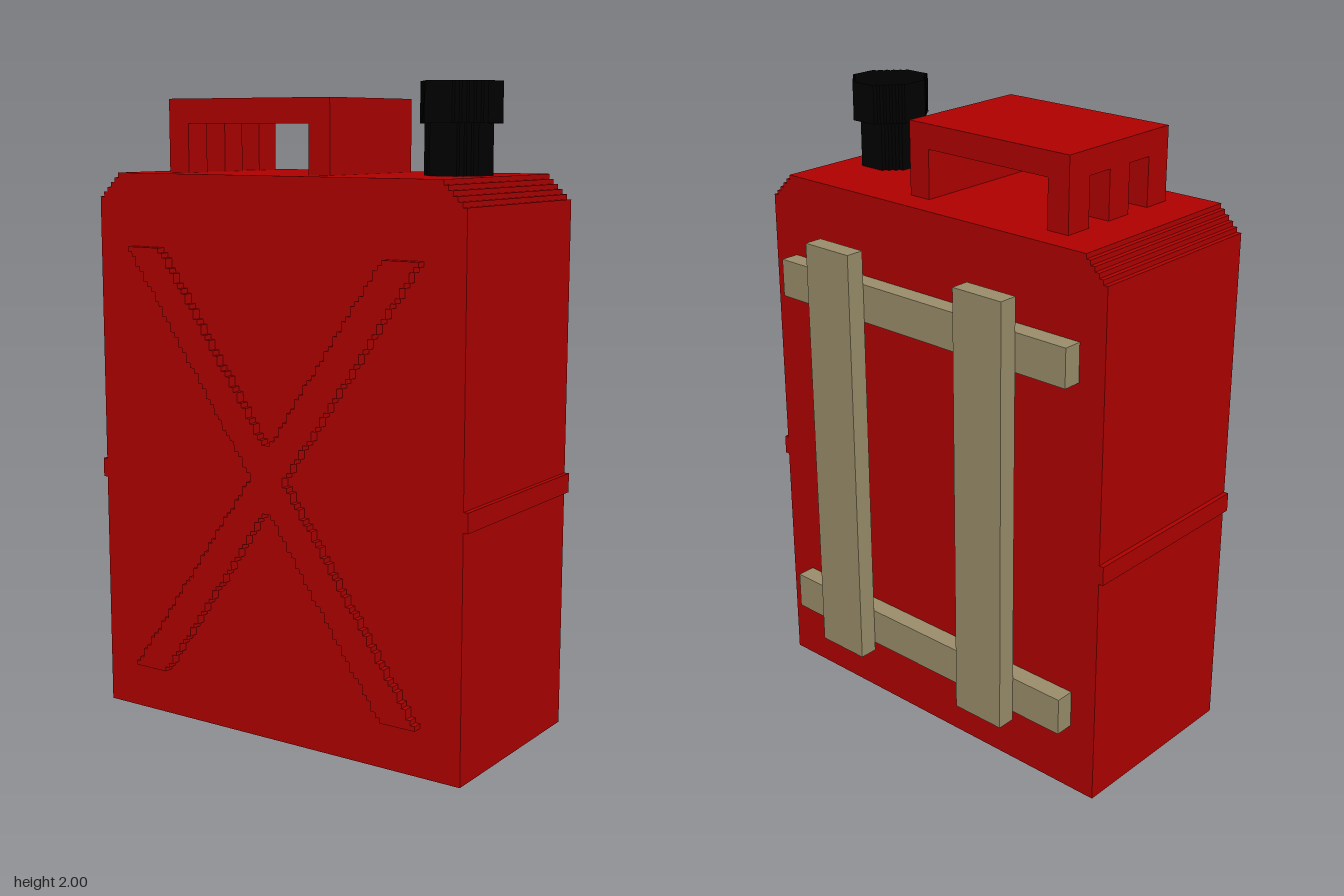
import * as THREE from 'three';

const V = 2 / 133; // size of one grid cell

const red = new THREE.MeshStandardMaterial({ color: 0xb00000 });
red.name = 'red paint';
const black = new THREE.MeshStandardMaterial({ color: 0x000000 });
black.name = 'black plastic';
const tan = new THREE.MeshStandardMaterial({ color: 0x9b8e6b });
tan.name = 'tan wood';

// All helpers work in grid cells; the group is scaled by V at the end.
function box(parent, name, material, [x0, x1], [y0, y1], [z0, z1]) {
  const mesh = new THREE.Mesh(new THREE.BoxGeometry(x1 - x0, y1 - y0, z1 - z0), material);
  mesh.position.set((x0 + x1) / 2, (y0 + y1) / 2, (z0 + z1) / 2);
  mesh.name = name;
  parent.add(mesh);
}

function extrude(parent, name, material, points, depth) {
  const shape = new THREE.Shape(points.map(([x, y]) => new THREE.Vector2(x, y)));
  const mesh = new THREE.Mesh(new THREE.ExtrudeGeometry(shape, { depth, bevelEnabled: false }), material);
  mesh.name = name;
  parent.add(mesh);
  return mesh;
}

// Staircase of n steps from a to b
function stairs(a, b, n, xFirst) {
  const at = (i, k) => a[k] + ((b[k] - a[k]) * i) / n;
  const points = [a];
  for (let i = 0; i < n; i++) {
    points.push(xFirst ? [at(i + 1, 0), at(i, 1)] : [at(i, 0), at(i + 1, 1)]);
    points.push([at(i + 1, 0), at(i + 1, 1)]);
  }
  return points;
}

// Octagonal column with stepped corners, standing on y0
function column(parent, name, x0, x1, z0, z1, left, right, cut, y0, y1) {
  const lo = -z1, hi = -z0;
  const mesh = extrude(parent, name, black, [
    ...stairs([x1, hi - cut], [x1 - right, hi], cut, true),
    ...stairs([x0 + left, hi], [x0, hi - cut], cut, false),
    ...stairs([x0, lo + cut], [x0 + left, lo], cut, true),
    ...stairs([x1 - right, lo], [x1, lo + cut], cut, false),
  ], y1 - y0);
  mesh.rotation.x = -Math.PI / 2;
  mesh.position.y = y0;
}

// Stepped diagonal bar of the front relief; side mirrors its direction
function diagonalBar(parent, name, side) {
  const left = [], right = [];
  for (let y = 10; y < 100; y++) {
    const centre = side * Math.round((31 * (y + 0.5 - 55)) / 45);
    left.push([centre - 4, y], [centre - 4, y + 1]);
    right.push([centre + 4, y], [centre + 4, y + 1]);
  }
  const outline = [...right, ...left.reverse()].filter(
    (p, i, all) => i === 0 || p[0] !== all[i - 1][0] || p[1] !== all[i - 1][1]);
  extrude(parent, name, red, outline, 2).position.z = 24;
}

export function createModel() {
  const model = new THREE.Group();
  model.name = 'fuelCan';

  // Tank with stepped shoulders
  extrude(model, 'tank', red, [
    [-44, 0], [44, 0],
    ...stairs([44, 110], [39, 115], 5, true),
    ...stairs([-39, 115], [-44, 110], 5, false),
  ], 42).position.z = -18;

  // Seam ridges on both sides
  box(model, 'leftSeam', red, [44, 45], [50, 54], [-18, 24]);
  box(model, 'rightSeam', red, [-45, -44], [50, 54], [-18, 24]);

  // Raised cross on the front
  diagonalBar(model, 'risingCrossBar', 1);
  diagonalBar(model, 'fallingCrossBar', -1);

  // Handle: broad grip, one solid wall and three posts
  const handle = new THREE.Group();
  handle.name = 'handle';
  model.add(handle);
  box(handle, 'grip', red, [-30, 10], [125, 130], [-12, 18]);
  box(handle, 'handleWall', red, [5, 10], [115, 125], [-12, 18]);
  for (const z of [-12, 0, 12]) box(handle, 'handlePost', red, [-30, -25], [115, 125], [z, z + 6]);

  // Spout and cap
  column(model, 'spout', 24, 36, -3, 9, 3, 3, 3, 115, 125);
  column(model, 'cap', 23, 38, -5, 11, 4, 5, 5, 125, 133);

  // Wooden rack on the back
  const rack = new THREE.Group();
  rack.name = 'backRack';
  model.add(rack);
  for (const y of [15, 90]) box(rack, 'rackRail', tan, [-38, 38], [y, y + 8], [-22, -18]);
  for (const x of [-26, 14]) box(rack, 'rackSlat', tan, [x, x + 12], [13, 105], [-26, -22]);

  model.scale.setScalar(V);
  return model;
}
